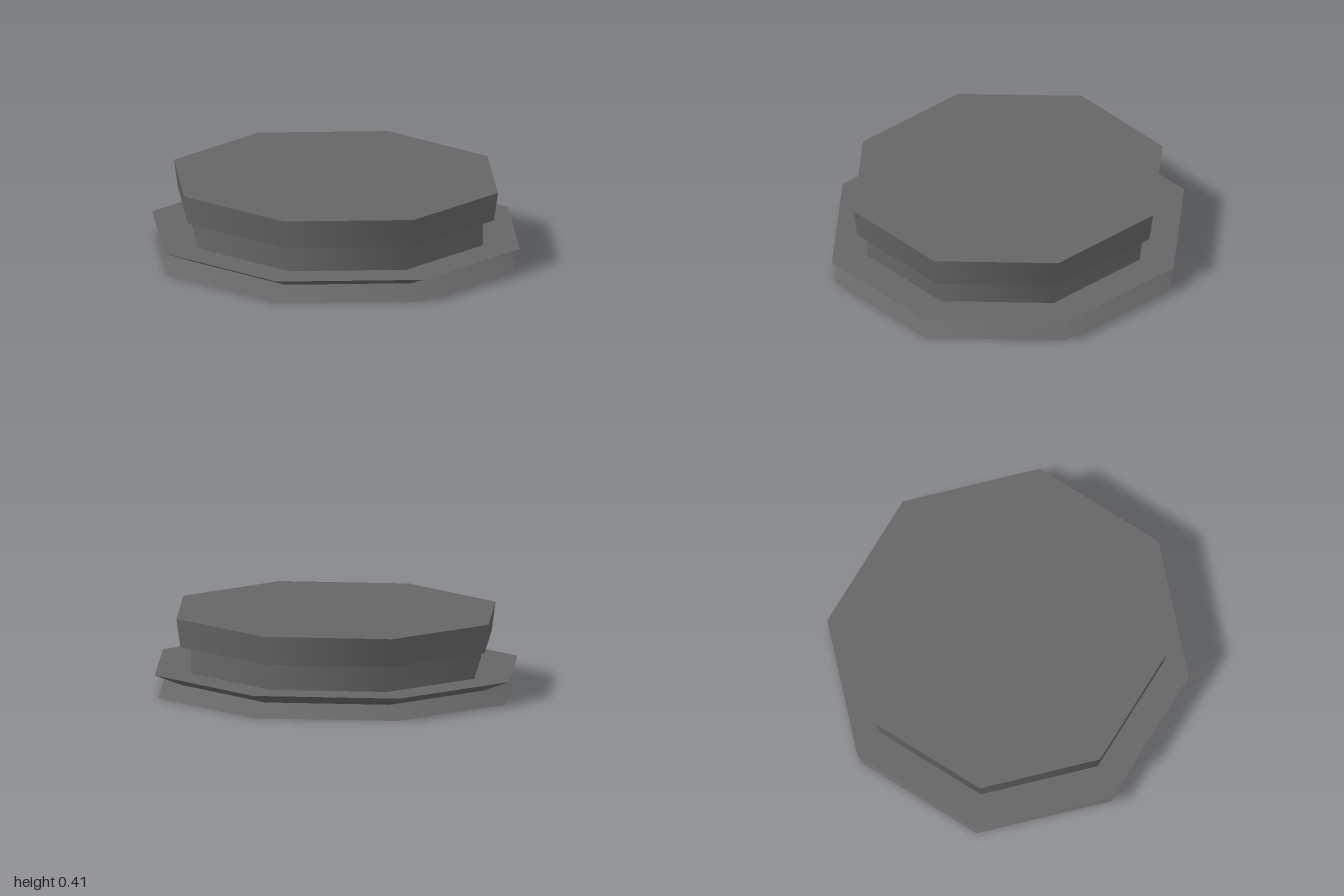
import * as THREE from 'three';

const DEPTH = 0.943; // the octagon is slightly shallower in z

export function createModel() {
  const group = new THREE.Group();
  group.name = 'octagonalPedestal';
  const darkGrey = new THREE.MeshStandardMaterial({ color: 0x666666 });
  darkGrey.name = 'darkGrey';

  // Eight-sided tapered tier, smooth around its side
  function tier(name, bottomRadius, topRadius, y0, y1, depth = DEPTH) {
    const geometry = new THREE.CylinderGeometry(topRadius, bottomRadius, y1 - y0, 8);
    geometry.scale(1, 1, depth);
    geometry.translate(0, (y0 + y1) / 2, 0);
    const mesh = new THREE.Mesh(geometry, darkGrey);
    mesh.name = name;
    group.add(mesh);
  }

  // Base: two flared rings meeting in a V groove
  tier('baseFoot', 0.98, 0.855, 0, 0.063);
  tier('baseFlange', 0.855, 1, 0.063, 0.12);
  // Recessed neck
  tier('neck', 0.8, 0.8, 0.12, 0.26, 0.938);
  // Flared top plate
  tier('topPlate', 0.86, 0.882, 0.26, 0.41, 0.937);

  return group;
}
